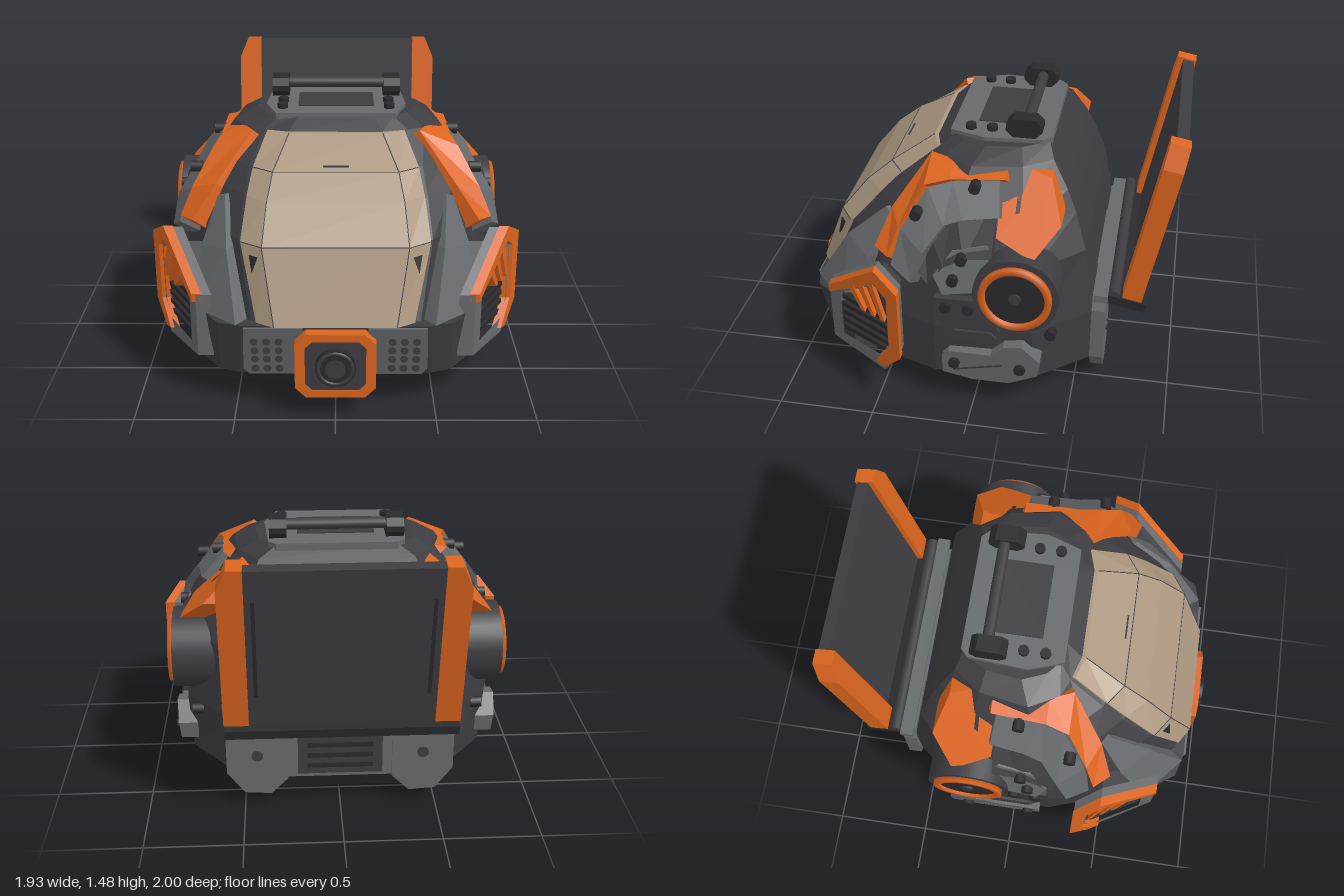
import * as THREE from 'three';

const paint = (name, color) => { const m = new THREE.MeshStandardMaterial({ color }); m.name = name; return m; };
const charcoal = paint('charcoal', 0x3d3c41), black = paint('black', 0x2a2a2d), grey = paint('grey', 0x66696d),
  orange = paint('orange', 0xdb641e), tan = paint('tan', 0xab9780);

// Reverses every triangle of a non-indexed geometry.
function flip(g) {
  for (const a of Object.values(g.attributes)) {
    const n = a.itemSize, v = a.array;
    for (let i = 0; i < v.length; i += 3 * n)
      for (let k = 0; k < n; k++) [v[i + n + k], v[i + 2 * n + k]] = [v[i + 2 * n + k], v[i + n + k]];
  }
  return g;
}

// Faceted solid through rings of equal length, with flat ends.
function loft(rings) {
  const p = [], n = rings[0].length, last = rings.length - 1;
  const tri = (...t) => t.forEach(v => p.push(...v));
  for (let r = 0; r < last; r++) for (let i = 0; i < n; i++) {
    const j = (i + 1) % n, a = rings[r][i], b = rings[r][j], c = rings[r + 1][j], d = rings[r + 1][i];
    tri(a, b, c); tri(a, c, d);
  }
  for (let i = 1; i < n - 1; i++) {
    tri(rings[0][0], rings[0][i + 1], rings[0][i]);
    tri(rings[last][0], rings[last][i], rings[last][i + 1]);
  }
  let volume = 0;
  for (let i = 0; i < p.length; i += 9) {
    const [a, b, c] = [0, 3, 6].map(k => new THREE.Vector3(p[i + k], p[i + k + 1], p[i + k + 2]));
    volume += a.dot(b.cross(c));
  }
  const g = new THREE.BufferGeometry();
  g.setAttribute('position', new THREE.Float32BufferAttribute(p, 3));
  if (volume < 0) flip(g);
  g.computeVertexNormals();
  return g;
}

// Thick strip between two edges, thickened along an inward offset.
const strip = (a, b, off) => loft(a.map((p, i) => {
  const sink = q => q.map((v, k) => v + off[k]);
  return [p, b[i], sink(b[i]), sink(p)];
}));

// Extruded outline whose vertices are then moved by a rule.
function bentPlate(pts, depth, holes, rule) {
  const path = l => l.map(p => new THREE.Vector2(...p));
  const shape = new THREE.Shape(path(pts));
  holes.forEach(h => shape.holes.push(new THREE.Path(path(h))));
  const raw = new THREE.ExtrudeGeometry(shape, { depth, bevelEnabled: false });
  const g = raw.index ? raw.toNonIndexed() : raw, a = g.attributes.position;
  for (let i = 0; i < a.count; i++) a.setXYZ(i, ...rule(a.getX(i), a.getY(i), a.getZ(i)));
  g.computeVertexNormals();
  return g;
}
// Plate outlined in (z, y) whose outer face lies at x = f(z, y).
const sidePlate = (pts, f, depth, holes = []) => {
  const turn = l => l.map(([z, y]) => [-z, y]);
  return bentPlate(turn(pts), depth, holes.map(turn), (s, y, d) => [f(-s, y) - depth + d, y, -s]);
};
// Plate outlined in (x, y) whose outer face lies at z = f(y, x).
const frontPlate = (pts, f, depth, holes = []) => bentPlate(pts, depth, holes, (x, y, d) => [x, y, f(y, x) - depth + d]);
const rect = (a0, a1, b0, b1) => [[a0, b0], [a1, b0], [a1, b1], [a0, b1]];
const chamfer = (w, h, c, y = 0) => [[w - c, -h], [w, c - h], [w, h - c], [w - c, h], [c - w, h], [-w, h - c], [-w, c - h], [c - w, -h]].map(p => [p[0], p[1] + y]);
const box = (w, h, d, x, y, z) => new THREE.BoxGeometry(w, h, d).translate(x, y, z);
const rod = (r, h, axis, x, y, z, n = 24) => {
  const g = new THREE.CylinderGeometry(r, r, h, n);
  if (axis === 'x') g.rotateZ(-Math.PI / 2);
  if (axis === 'z') g.rotateX(Math.PI / 2);
  return g.translate(x, y, z);
};

export function createModel() {
  const model = new THREE.Group();
  const put = (name, g, mat, parent = model) => {
    const m = new THREE.Mesh(g, mat); m.name = name; parent.add(m);
  };
  const pair = (name, g, mat, parent = model) => {
    put(name + 'Left', g, mat, parent);
    const r = g.index ? g.toNonIndexed() : g.clone();
    for (const k of ['position', 'normal']) { const a = r.attributes[k]; for (let i = 0; i < a.count; i++) a.setX(i, -a.getX(i)); }
    put(name + 'Right', flip(r), mat, parent);
  };
  const ring = (y, half) => [...half.map(([x, z]) => [x, y, z]), ...half.slice().reverse().map(([x, z]) => [-x, y, z])];

  // Faceted shell
  const shell = [
    ring(.04, [[.35, .64], [.45, .62], [.60, .38], [.64, .1], [.62, -.25], [.42, -.54]]),
    ring(.17, [[.40, .82], [.54, .78], [.70, .5], [.80, .2], [.78, -.3], [.54, -.6]]),
    ring(.48, [[.30, .90], [.42, .86], [.70, .56], [.82, .2], [.80, -.3], [.56, -.59]]),
    ring(.84, [[.36, .76], [.48, .69], [.66, .48], [.79, .15], [.77, -.3], [.54, -.53]]),
    ring(1.02, [[.34, .615], [.46, .53], [.60, .40], [.71, .1], [.68, -.25], [.48, -.47]]),
    ring(1.13, [[.31, .48], [.44, .42], [.54, .32], [.64, .08], [.60, -.22], [.45, -.42]]),
    ring(1.265, [[.24, .28], [.37, .24], [.46, .2], [.54, .05], [.5, -.2], [.40, -.34]]),
    ring(1.32, [[.2, .2], [.30, .18], [.37, .12], [.42, 0], [.40, -.18], [.32, -.31]])];
  put('shell', loft(shell.slice(1)), charcoal);
  put('shellBase', loft(shell.slice(0, 2)), black);

  // Visor with seams and corner markers
  const rows = [[.48, .30, .935, .39, .88], [.84, .36, .79, .47, .715], [1.02, .34, .645, .445, .55], [1.13, .315, .515, .42, .44], [1.265, .24, .30, .355, .26]];
  put('visor', loft(rows.map(([y, xi, zc, xo, zo]) => ring(y, [[xi, zc], [xo, zo], [xo - .02, zo - .1]]))), tan);
  const seam = (a, b) => {
    const p = new THREE.Vector3(...a), q = new THREE.Vector3(...b), d = q.clone().sub(p);
    const g = new THREE.CylinderGeometry(.0025, .0025, d.length(), 5);
    g.applyQuaternion(new THREE.Quaternion().setFromUnitVectors(new THREE.Vector3(0, 1, 0), d.normalize()));
    return g.translate(...p.add(q).multiplyScalar(.5).toArray());
  };
  rows.forEach(([y, xi, zc, xo, zo], i) => {
    if (i % 2) {
      put('visorSeam', seam([-xi, y, zc], [xi, y, zc]), charcoal);
      pair('visorSideSeam', seam([xi, y, zc], [xo, y, zo]), charcoal);
    }
    if (i) { const [y0, x0, z0] = rows[i - 1]; pair('visorFold', seam([x0, y0, z0], [xi, y, zc]), charcoal); }
  });
  pair('visorMarker', frontPlate([[.41, .71], [.425, .79], [.38, .79]], (y, x) => .79 - (y - .75) * .42 - (x - .41) * .7, .009), black);
  put('visorNotch', box(.13, .006, .009, 0, 1.15, .487), charcoal);

  // Chin, dotted grilles and front sensor
  put('chin', loft([ring(.11, [[.42, .74], [.54, .70], [.62, .58], [.4, .4]]), ring(.18, [[.48, .845], [.58, .81], [.69, .66], [.5, .45]]),
    ring(.48, [[.46, .915], [.58, .88], [.70, .70], [.5, .45]])]), charcoal);
  const chinZ = y => .86 + (y - .18) * .233;
  pair('grille', frontPlate([[.16, .18], [.43, .18], [.46, .22], [.45, .47], [.16, .47]], chinZ, .02), grey);
  for (const x of [.28, .34, .40]) for (const y of [.22, .28, .335, .39])
    pair('grilleDot', rod(.02, .012, 'z', x, y, chinZ(y), 8), charcoal);
  put('sensorMount', frontPlate(chamfer(.17, .15, .05, .285), () => .95, .12), charcoal);
  put('sensorFrame', frontPlate(chamfer(.2, .175, .055, .285), () => .97, .07, [chamfer(.15, .135, .035, .285)]), orange);
  put('sensorPlate', frontPlate(chamfer(.152, .137, .035, .285), () => .965, .05), charcoal);
  put('sensorBarrel', rod(.1, .04, 'z', 0, .285, .975, 32), black);
  put('sensorRim', new THREE.TorusGeometry(.085, .012, 8, 32).translate(0, .285, .988), charcoal);
  put('sensorLens', rod(.05, .01, 'z', 0, .285, .994), charcoal);

  // Fairings beside the visor
  pair('fairing', strip([[.56, 1.0, .49], [.54, .80, .71], [.49, .48, .91]], [[.60, .98, .45], [.68, .76, .57], [.71, .48, .72]], [-.06, 0, -.08]), grey);

  // Slatted cheek guards
  const cheek = z => .94 - .57 * (z - .35);
  const guard = [[.78, .24], [.78, .58], [.48, .82], [.35, .74], [.35, .36], [.45, .20]];
  const opening = [[.71, .29], [.71, .56], [.49, .72], [.42, .68], [.42, .38], [.46, .29]];
  pair('cheekGuard', sidePlate(guard, cheek, .08, [opening]), grey);
  pair('cheekMount', sidePlate([[.74, .27], [.74, .55], [.48, .74], [.38, .68], [.38, .38], [.46, .25]], z => cheek(z) - .075, .16), charcoal);
  pair('cheekTrim', sidePlate([[.78, .54], [.78, .585], [.48, .825], [.345, .745], [.345, .35], [.45, .235], [.50, .245], [.41, .38], [.41, .69], [.48, .745]], z => cheek(z) + .02, .05), orange);
  for (const z of [.62, .56, .50])
    pair('cheekFinger', sidePlate([[z, .66 + (.62 - z) * .7], [z + .03, .64 + (.62 - z) * .7], [z - .045, .53], [z - .07, .53]], w => cheek(w) + .012, .04), orange);
  for (let y = .32; y < .54; y += .05) pair('cheekSlat', sidePlate(rect(.42, .71, y - .012, y + .012), z => cheek(z) - .02, .04), black);

  // Shoulder arches around a dark side pod
  pair('sidePod', strip([[.60, 1.18, -.1], [.63, 1.16, .12], [.70, 1.04, .26], [.80, .86, .33]],
    [[.82, .92, -.1], [.82, .90, .04], [.83, .85, .14], [.83, .74, .22]], [-.14, -.06, 0]), charcoal);
  pair('archTrim', strip([[.50, 1.255, -.13], [.48, 1.265, .15], [.43, 1.27, .27], [.61, 1.04, .44], [.73, .87, .51]],
    [[.59, 1.235, -.13], [.60, 1.215, .15], [.63, 1.19, .27], [.74, 1.0, .38], [.80, .86, .43]], [-.07, -.06, -.03]), orange);
  pair('archPlate', strip([[.58, 1.23, -.1], [.60, 1.21, .13], [.63, 1.18, .25], [.74, .99, .37], [.81, .82, .41]],
    [[.71, 1.09, -.12], [.73, 1.07, .06], [.75, 1.04, .15], [.83, .92, .24], [.86, .76, .30]], [-.1, -.06, -.02]), grey);
  for (const [x, y, z] of [[.62, 1.2, .015], [.72, 1.08, .29], [.81, .9, .05], [.835, .79, .09], [.74, .445, -.39], [.83, .62, .13], [.83, .62, .015], [.84, .28, .09], [.84, .28, -.25]])
    pair('sideBolt', rod(.03, .06, 'x', x, y, z, 8), black);

  // Orange vent panels over the ears, with recessed slots
  const vent = (z, y) => .47 + 1.08 * (1.26 - y);
  const ventPts = [[-.11, 1.0], [-.11, 1.215], [-.19, 1.26], [-.35, 1.22], [-.42, 1.06], [-.31, .94], [-.25, .95]];
  pair('earVent', sidePlate(ventPts, vent, .03, [-.20, -.26, -.32].map(z => rect(z - .01, z + .01, 1.07, 1.18))), orange);
  pair('earVentBase', sidePlate(ventPts, (z, y) => vent(z, y) - .025, .14), orange);

  // Round ears
  pair('earDrum', rod(.215, .3, 'x', .71, .735, -.225, 32), charcoal);
  pair('earRing', new THREE.LatheGeometry([[.148, 0], [.182, 0], [.182, .03], [.148, .03], [.148, 0]].map(p => new THREE.Vector2(...p)), 40)
    .rotateZ(-Math.PI / 2).translate(.855, .735, -.225), orange);
  pair('earDisc', rod(.15, .02, 'x', .86, .735, -.225, 32), black);
  pair('earHub', rod(.03, .012, 'x', .873, .735, -.225, 16), charcoal);

  // Side armour
  pair('upperArmour', sidePlate([[.19, .80], [.10, .93], [-.07, .97], [-.10, .94], [-.02, .735], [.14, .71]], (z, y) => .85 - .3 * (y - .75), .12), grey);
  pair('middleArmour', sidePlate([[.19, .67], [.19, .56], [.12, .42], [-.14, .42], [-.14, .5], [-.04, .67]], () => .84, .06), charcoal);
  pair('middleSlot', sidePlate([[.09, .43], [.12, .46], [.09, .49], [-.1, .49], [-.13, .46], [-.1, .43]], () => .855, .03), charcoal);
  pair('lowerArmour', sidePlate([[.155, .31], [.12, .35], [-.1, .35], [-.165, .415], [-.26, .43], [-.35, .335], [-.34, .24], [-.19, .165], [0, .165], [.155, .20]], (z, y) => .85 + .1 * (y - .3), .1), grey);
  pair('lowerGroove', sidePlate([[.1, .22], [.1, .23], [-.16, .295], [-.16, .285]], (z, y) => .853 + .1 * (y - .3), .009), charcoal);

  // Roof plate and carry handle
  const roof = [[.31, .2], [.37, .02], [.35, -.28], [.31, -.32]];
  put('roofPlate', loft([ring(1.3, roof), ring(1.34, roof)]), grey);
  put('roofPanel', box(.4, .009, .25, 0, 1.341, -.05), charcoal);
  for (const z of [-.01, .1]) pair('roofBolt', rod(.028, .03, 'y', .28, 1.35, z, 8), black);
  pair('handleEnd', bentPlate(chamfer(.092, .05, .035), .09, [], (s, y, d) => [.255 + d, y + 1.39, -s - .18]), black);
  put('handleBar', rod(.03, .54, 'x', 0, 1.4, -.19, 12), charcoal);

  // Tilted rear screen
  const screen = new THREE.Group();
  screen.name = 'rearScreen'; screen.position.set(0, .59, -.78); screen.rotation.x = -.19; model.add(screen);
  put('screenPanel', box(.96, .89, .06, 0, .445, -.01), charcoal, screen);
  pair('screenPost', frontPlate([[.46, 0], [.585, 0], [.585, .78], [.535, .9], [.46, .9]], () => .05, .1), orange, screen);
  pair('screenSlot', box(.018, .55, .009, .42, .45, -.04), black, screen);
  put('screenShelf', box(1.16, .05, .2, 0, -.035, .02), black, screen);
  put('shelfHinge', rod(.03, 1.16, 'x', 0, .6, -.69, 12), charcoal);

  // Rear bracket
  pair('rearPlate', frontPlate([[.27, .16], [.36, .07], [.5, .08], [.59, .2], [.59, .5], [.55, .58], [.27, .58]], () => -.58, .07), grey);
  put('rearLip', box(1.2, .04, .07, 0, .585, -.625), grey);
  pair('rearBolt', rod(.03, .012, 'z', .43, .3, -.652, 12), charcoal);
  put('rearPanel', box(.54, .42, .06, 0, .37, -.605), grey);
  put('rearVent', box(.44, .34, .008, 0, .35, -.637), charcoal);
  for (let i = 0; i < 5; i++) put('rearSlot', box(.34, .025, .008, 0, .23 + i * .06, -.643), black);
  put('rearTab', box(.2, .03, .03, 0, .55, -.645), orange);

  // Underside hatch, pads and contact pins
  put('hatch', box(.8, .015, .42, 0, .035, .08), black);
  for (const z of [.41, -.25]) pair('footPad', rod(.048, .02, 'y', .5, .034, z, 16), tan);
  for (const x of [.04, .125]) pair('contactPin', rod(.014, .04, 'y', x, .02, .08, 10), tan);
  return model;
}
